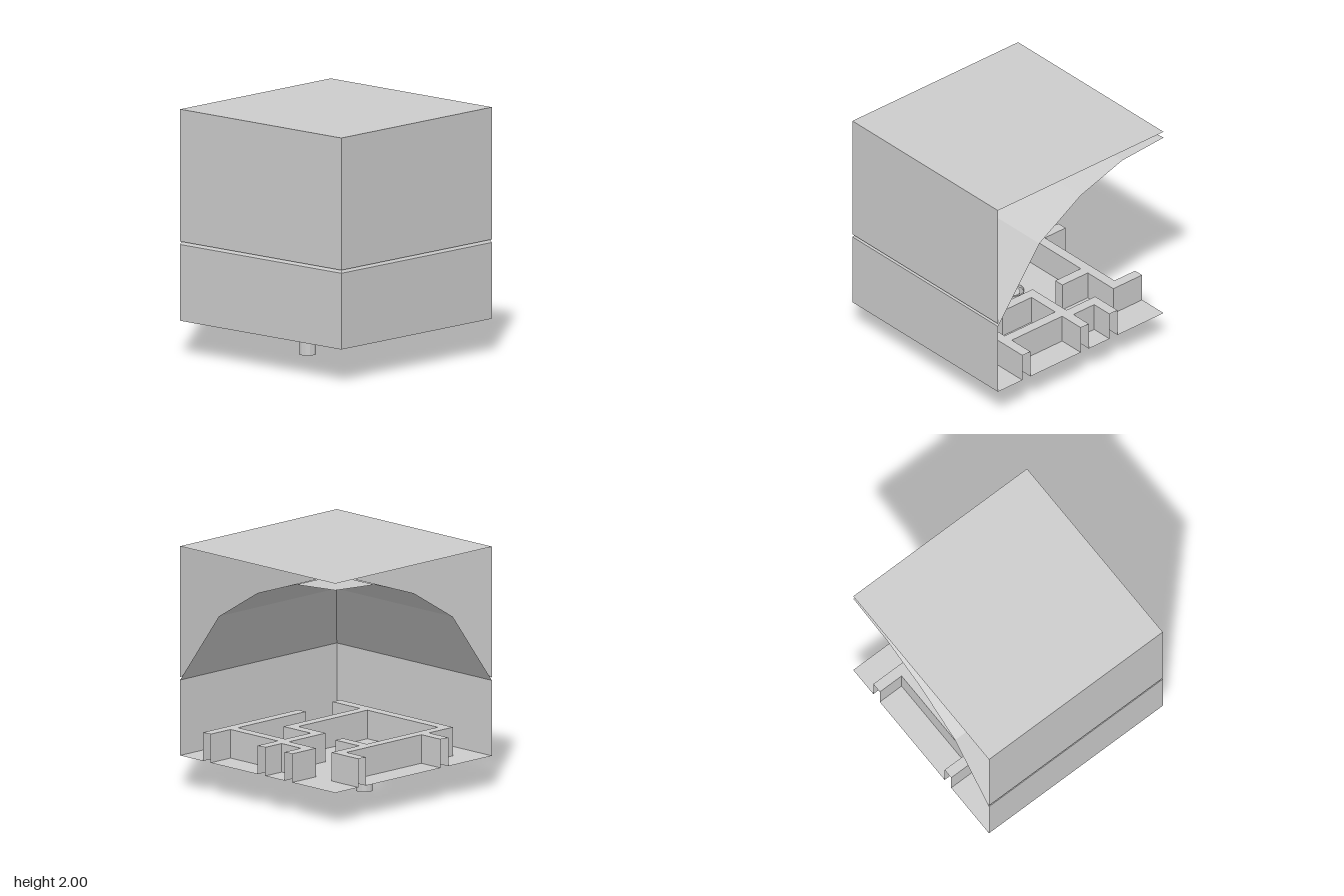
import * as THREE from 'three';

const H = 0.88;            // half width of the block
const FLOOR = 0.28, RIDGE = 0.515, SPRING = 0.9, GROOVE = 0.925, TOP = 2;
const PIN = { x: -0.15, z: -0.17 };

const material = new THREE.MeshStandardMaterial({
  color: 0xcccccc, flatShading: true, side: THREE.DoubleSide,
});

function mesh(name, geometry) {
  const m = new THREE.Mesh(geometry, material);
  m.name = name;
  return m;
}

// Sheet made of four-cornered faces
function sheet(name, quads) {
  const pos = [];
  for (const [a, b, c, d] of quads) pos.push(...a, ...b, ...c, ...a, ...c, ...d);
  const g = new THREE.BufferGeometry();
  g.setAttribute('position', new THREE.Float32BufferAttribute(pos, 3));
  g.computeVertexNormals();
  return mesh(name, g);
}

// Front wall and side wall between two heights
function walls(name, y0, y1) {
  return sheet(name, [
    [[-H, y0, H], [H, y0, H], [H, y1, H], [-H, y1, H]],
    [[-H, y0, -H], [-H, y0, H], [-H, y1, H], [-H, y1, -H]],
  ]);
}

// Quarter of a four-sided vault, with its hip on the diagonal
function vault() {
  const profile = [[H, SPRING], [0.44, 1.5], [0, 1.77], [-0.44, 1.915], [-H, 1.945]];
  const quads = [];
  for (let i = 0; i < profile.length - 1; i++) {
    const [z0, y0] = profile[i], [z1, y1] = profile[i + 1];
    const strip = [[-z0, y0, z0], [H, y0, z0], [H, y1, z1], [-z1, y1, z1]];
    quads.push(strip);
    quads.push(strip.map(([x, y, z]) => [-z, y, -x]).reverse());
  }
  return sheet('vault', quads);
}

// Floor sheet pressed up into hollow ridges: [x0, x1, z0, z1]
function mazeFloor() {
  const ridges = [
    [-0.19, H, 0.535, 0.62],
    [0.57, 0.655, -0.085, 0.62],
    [0.2, H, -0.085, 0],
    [0.61, 0.695, -0.39, 0],
    [0.61, H, -0.39, -0.305],
    [0.2, 0.285, -0.085, 0.31],
    [-0.66, 0.285, 0.225, 0.31],
    [0.535, 0.62, -H, -0.575],
    [-0.66, 0.62, -0.66, -0.575],
    [0.225, 0.31, -0.66, -0.305],
    [-0.39, -0.305, -H, -0.575],
    [-0.66, -0.575, -0.66, 0.62],
  ];
  const patch = [PIN.x - 0.12, PIN.x + 0.12, PIN.z - 0.12, PIN.z + 0.12];
  const rects = [...ridges, patch];
  const lines = (k) => [...new Set([-H, H, ...rects.flatMap((r) => [r[k], r[k + 1]])])].sort((a, b) => a - b);
  const xs = lines(0), zs = lines(2);
  const inside = (r, x, z) => x > r[0] && x < r[1] && z > r[2] && z < r[3];
  const mid = (a, i) => (a[i] + a[i + 1]) / 2;
  const raised = (i, j) => ridges.some((r) => inside(r, mid(xs, i), mid(zs, j)));
  const quads = [];
  for (let i = 0; i < xs.length - 1; i++) {
    for (let j = 0; j < zs.length - 1; j++) {
      if (inside(patch, mid(xs, i), mid(zs, j))) continue;
      const x0 = xs[i], x1 = xs[i + 1], z0 = zs[j], z1 = zs[j + 1];
      const up = raised(i, j), y = up ? RIDGE : FLOOR;
      quads.push([[x0, y, z0], [x0, y, z1], [x1, y, z1], [x1, y, z0]]);
      // Upright sides wherever the height changes
      if (i + 2 < xs.length && raised(i + 1, j) !== up) {
        const q = [[x1, FLOOR, z1], [x1, FLOOR, z0], [x1, RIDGE, z0], [x1, RIDGE, z1]];
        quads.push(up ? q : q.reverse());
      }
      if (j + 2 < zs.length && raised(i, j + 1) !== up) {
        const q = [[x0, FLOOR, z1], [x1, FLOOR, z1], [x1, RIDGE, z1], [x0, RIDGE, z1]];
        quads.push(up ? q : q.reverse());
      }
    }
  }
  return sheet('mazeFloor', quads);
}

// Square of floor with a round hole, its collar and the hanging pin
function pinAssembly() {
  const group = new THREE.Group();
  group.name = 'pinAssembly';
  const s = 0.12;
  const shape = new THREE.Shape([[-s, -s], [s, -s], [s, s], [-s, s]].map((p) => new THREE.Vector2(...p)));
  shape.holes.push(new THREE.Path().absarc(0, 0, 0.1, 0, Math.PI * 2, true));
  const plate = mesh('pinPlate', new THREE.ShapeGeometry(shape, 6).rotateX(-Math.PI / 2));
  plate.position.y = FLOOR;
  const collar = mesh('pinCollar', new THREE.CylinderGeometry(0.1, 0.1, 0.025, 12, 1, true));
  collar.position.y = FLOOR + 0.0125;
  const pin = mesh('pin', new THREE.CylinderGeometry(0.07, 0.07, 0.29, 12));
  pin.position.y = 0.145;
  group.add(plate, collar, pin);
  group.position.set(PIN.x, 0, PIN.z);
  return group;
}

export function createModel() {
  const model = new THREE.Group();
  model.name = 'cutawayVaultBlock';
  model.add(
    walls('lowerWalls', FLOOR, SPRING),
    walls('upperWalls', GROOVE, TOP),
    sheet('roof', [[[-H, TOP, -H], [-H, TOP, H], [H, TOP, H], [H, TOP, -H]]]),
    vault(),
    mazeFloor(),
    pinAssembly(),
  );
  return model;
}
